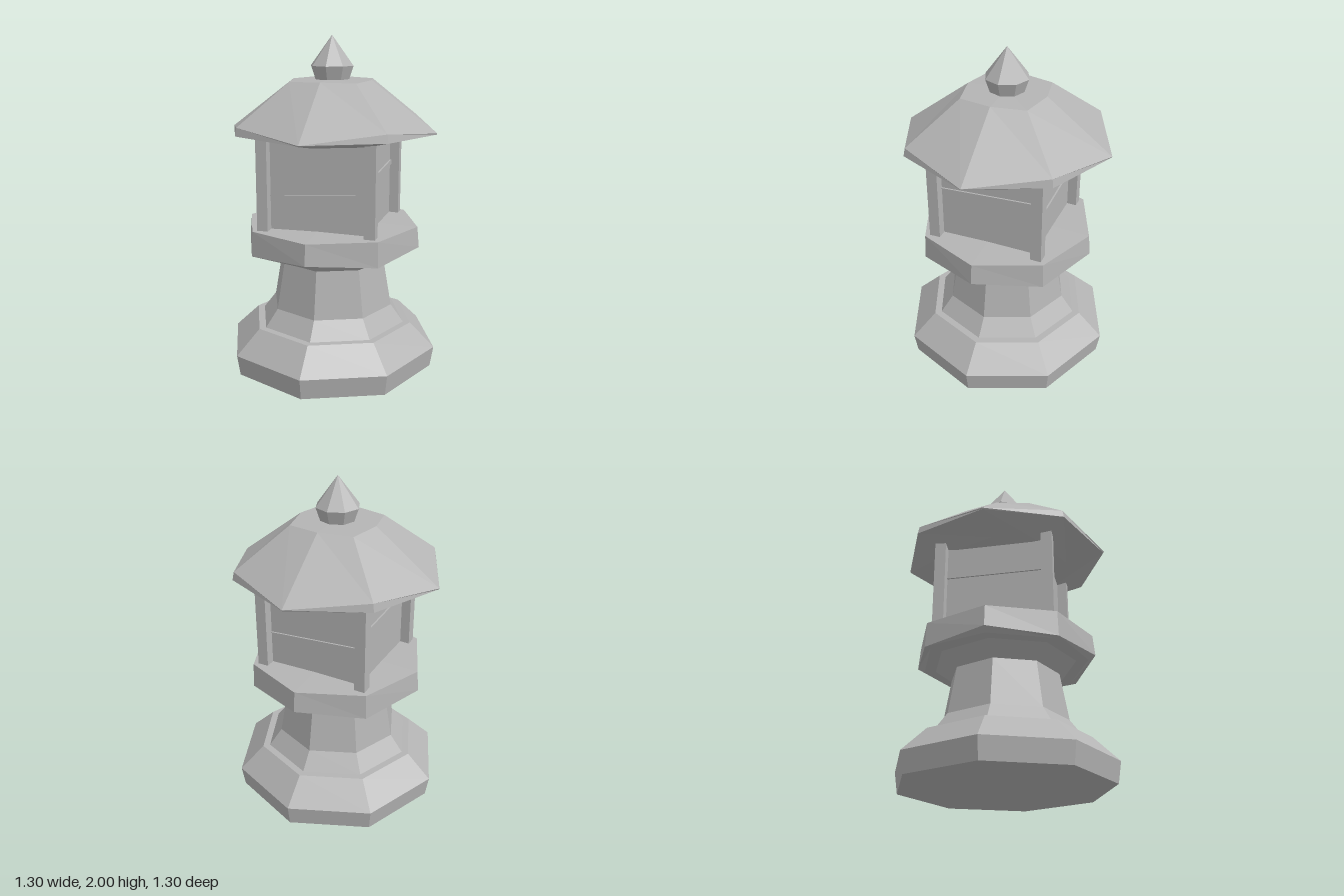
import * as THREE from 'three';

const stone = new THREE.MeshStandardMaterial({ color: 0xb4b4b4, flatShading: true });
stone.name = 'grey stone';

// Eight-sided turned part. Each ring is [radius, y] or [radius, y, corner radius, corner y],
// the last two giving the diagonal corners their own position.
function octagon(name, rings) {
  const geo = new THREE.LatheGeometry(rings.map(([r, y]) => new THREE.Vector2(r, y)), 8);
  const pos = geo.attributes.position;
  for (let i = 0; i < pos.count; i++) {
    const segment = Math.floor(i / rings.length);
    const [r, y, rd = r, yd = y] = rings[i % rings.length];
    if (segment % 2) {
      const a = (segment * Math.PI) / 4;
      pos.setXYZ(i, Math.sin(a) * rd, yd, Math.cos(a) * rd);
    }
  }
  geo.computeVertexNormals();
  const mesh = new THREE.Mesh(geo, stone);
  mesh.name = name;
  return mesh;
}

function box(name, w, y0, y1, x = 0, z = 0) {
  const mesh = new THREE.Mesh(new THREE.BoxGeometry(w, y1 - y0, w), stone);
  mesh.position.set(x, (y0 + y1) / 2, z);
  mesh.name = name;
  return mesh;
}

// Thin wedge-shaped ledge across a chamber wall
function ledge(y, height) {
  const shape = new THREE.Shape();
  shape.moveTo(-0.29, y);
  shape.lineTo(0.29, y);
  shape.lineTo(0.29, y + height);
  shape.lineTo(-0.29, y + 0.004);
  const geo = new THREE.ExtrudeGeometry(shape, { depth: 0.025, bevelEnabled: false });
  geo.translate(0, 0, 0.28);
  const mesh = new THREE.Mesh(geo, stone);
  mesh.name = 'wallLedge';
  return mesh;
}

export function createModel() {
  const lantern = new THREE.Group();
  lantern.name = 'stoneLantern';

  // Stepped foot and tapering shaft
  lantern.add(octagon('base', [[0, 0], [0.63, 0], [0.65, 0.125], [0.5, 0.27], [0, 0.27]]));
  lantern.add(octagon('shaft', [[0.46, 0.265], [0.377, 0.375], [0.327, 0.66], [0.435, 0.74]]));

  // Platform with slightly uneven rim
  lantern.add(octagon('platform', [
    [0, 0.735], [0.5, 0.735], [0.542, 0.76, 0.537, 0.735],
    [0.53, 0.885], [0, 0.905],
  ]));

  // Fire chamber with corner posts
  const chamber = new THREE.Group();
  chamber.name = 'chamber';
  chamber.add(box('chamberWalls', 0.59, 0.88, 1.41));
  for (const x of [-0.32, 0.32]) {
    for (const z of [-0.32, 0.32]) chamber.add(box('cornerPost', 0.066, 0.87, 1.425, x, z));
  }
  for (let i = 0; i < 4; i++) {
    const l = ledge(i % 2 ? 1.2 : 1.09, i % 2 ? 0.03 : 0.04);
    l.rotation.y = (i * Math.PI) / 2;
    chamber.add(l);
  }
  lantern.add(chamber);

  // Roof with raised diagonal corners
  lantern.add(octagon('roof', [
    [0, 1.395], [0.39, 1.397], [0.625, 1.443, 0.62, 1.452],
    [0.63, 1.45, 0.61, 1.5], [0.24, 1.745, 0.28, 1.74], [0, 1.75],
  ]));

  // Pointed finial
  lantern.add(octagon('finial', [[0, 1.735], [0.1, 1.735], [0.13, 1.825], [0, 2]]));

  return lantern;
}
